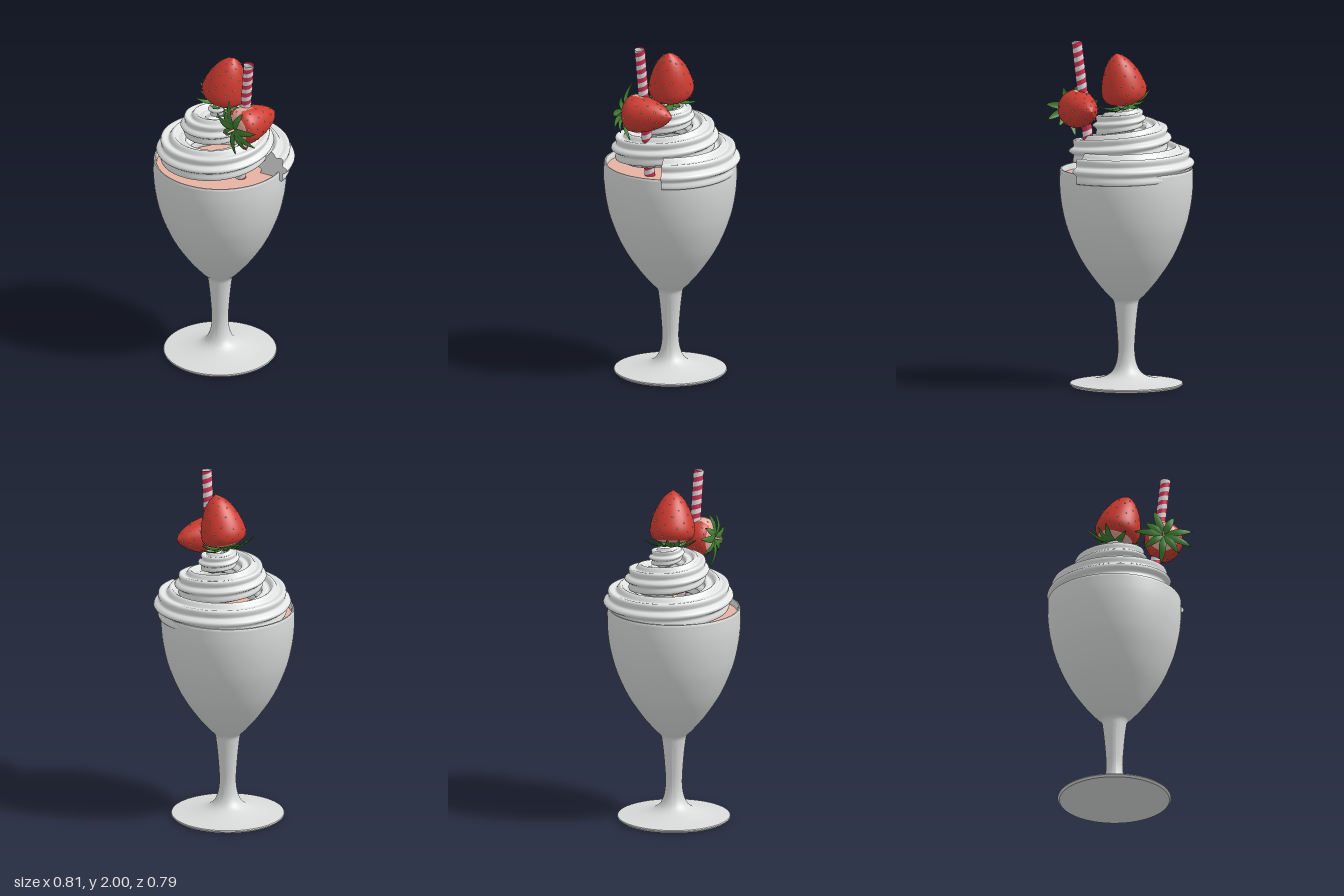
import * as THREE from 'three';
import { mergeGeometries, toCreasedNormals } from 'three/addons/utils/BufferGeometryUtils.js';

const mat = (name, color, side = THREE.FrontSide) => {
  const m = new THREE.MeshStandardMaterial({ color, side });
  m.name = name;
  return m;
};
const UP = new THREE.Vector3(0, 1, 0);
const V = (x, y, z) => new THREE.Vector3(x, y, z);

function add(parent, name, geometry, material) {
  const mesh = new THREE.Mesh(geometry, material);
  mesh.name = name;
  parent.add(mesh);
  return mesh;
}

// Sort the triangles into two material groups; second(t, corner) picks the second one
function splitFaces(geo, second) {
  const idx = Array.from(geo.index.array), lists = [[], []];
  for (let t = 0; t < idx.length / 3; t++) {
    const tri = idx.slice(t * 3, t * 3 + 3);
    lists[second(t, tri) ? 1 : 0].push(...tri);
  }
  geo.setIndex([...lists[0], ...lists[1]]);
  geo.clearGroups();
  geo.addGroup(0, lists[0].length, 0);
  geo.addGroup(lists[0].length, lists[1].length, 1);
  return geo;
}

const spline = (pts, n) =>
  new THREE.SplineCurve(pts.map(([x, y]) => new THREE.Vector2(x, y))).getPoints(n);

// Whipped cream: a fluted section swept along a shrinking spiral.
// Each key, a quarter turn apart, is (spiral radius, height, section radius).
const creamKeys = new THREE.CatmullRomCurve3([
  [0.305, 1.275, 0.1], [0.295, 1.285, 0.1], [0.305, 1.3, 0.098], [0.255, 1.335, 0.095],
  [0.2, 1.38, 0.09], [0.185, 1.42, 0.088], [0.18, 1.455, 0.085], [0.13, 1.49, 0.08],
  [0.085, 1.52, 0.07], [0.075, 1.545, 0.06], [0.05, 1.565, 0.055], [0.02, 1.59, 0.045],
  [0, 1.61, 0.015],
].map((k) => V(...k)), false, 'catmullrom');

const flute = (a) => 0.87 + 0.13 * Math.cos(8 * a);

function creamSweep() {
  const N = 300, M = 64, pos = [], idx = [];
  for (let i = 0; i <= N; i++) {
    const k = creamKeys.getPoint(i / N), th = (i / N) * 6 * Math.PI;
    for (let j = 0; j < M; j++) {
      const a = (j / M) * 2 * Math.PI, s = k.z * flute(a);
      const r = k.x + s * Math.cos(a);
      pos.push(r * Math.cos(th), k.y + s * Math.sin(a), -r * Math.sin(th));
      if (i < N) {
        const p = i * M + j, q = i * M + (j + 1) % M;
        idx.push(p, p + M, q, q, p + M, q + M);
      }
    }
  }
  const geo = new THREE.BufferGeometry();
  geo.setAttribute('position', new THREE.Float32BufferAttribute(pos, 3));
  geo.setIndex(idx);
  geo.computeVertexNormals();
  return geo;
}

function creamCap() {
  const geo = new THREE.CircleGeometry(1, 64), p = geo.attributes.position;
  for (let i = 0; i < p.count; i++) {
    const s = 0.1 * flute(Math.atan2(p.getY(i), p.getX(i)));
    p.setXY(i, 0.305 + p.getX(i) * s, 1.275 + p.getY(i) * s);
  }
  return geo;
}

// One calyx leaf: a pointed, folded blade along +x that droops at the tip
function leafGeometry(length, lift) {
  const geo = new THREE.PlaneGeometry(1, 1, 8, 2), p = geo.attributes.position;
  for (let i = 0; i < p.count; i++) {
    const t = p.getX(i) + 0.5, side = p.getY(i) * 2;
    const w = 0.021 * Math.pow(Math.sin(Math.PI * Math.min(1, 0.12 + t * 0.88)), 0.8);
    p.setXYZ(i, length * t, lift * t * t - 0.02 * Math.sin(t * Math.PI) + 0.008 * Math.abs(side), side * w);
  }
  geo.computeVertexNormals();
  return geo;
}

// Strawberry with its calyx at base, pointing to tip
function strawberry(name, base, tip, radius, mats, patch, leafLift) {
  const g = new THREE.Group();
  g.name = name;
  const axis = tip.clone().sub(base), L = axis.length();
  g.position.copy(base);
  g.quaternion.setFromUnitVectors(UP, axis.normalize());

  const profile = spline([[0, 0], [0.5, 0.015], [0.86, 0.09], [1, 0.22], [0.93, 0.42],
    [0.72, 0.66], [0.4, 0.87], [0, 1]].map(([r, y]) => [r * radius, y * L]), 42);
  profile[0].x = profile[42].x = 0;
  const body = new THREE.LatheGeometry(profile, 48), uv = body.attributes.uv;
  // Pale flesh around the calyx, plus an optional bare patch
  splitFaces(body, (t, tri) => {
    const u = tri.reduce((s, i) => s + uv.getX(i) / 3, 0);
    const v = tri.reduce((s, i) => s + uv.getY(i) / 3, 0);
    return v < 0.24 || (patch && u > 0.87 && u < 0.97 && v < 0.56);
  });
  add(g, 'berryBody', body, [mats.red, mats.flesh]);

  const seeds = [];
  for (let i = 0; i < 64; i++) {
    const k = 12 + Math.floor(27 * Math.pow((i + 0.5) / 64, 1.15)), a = i * 2.39996;
    const c = profile[k], d = profile[k + 1].clone().sub(profile[k - 1]).normalize();
    const n = V(d.y * Math.sin(a), -d.x, d.y * Math.cos(a));
    const s = new THREE.SphereGeometry(0.0055, 6, 4).scale(0.8, 0.7, 1);
    s.applyQuaternion(new THREE.Quaternion().setFromUnitVectors(UP, n));
    seeds.push(s.translate(c.x * Math.sin(a), c.y, c.x * Math.cos(a)));
  }
  add(g, 'seeds', mergeGeometries(seeds), mats.seed);

  const leaves = [];
  for (let i = 0; i < 9; i++) {
    const leaf = leafGeometry(i % 2 ? 0.135 : 0.17, leafLift);
    leaves.push(leaf.rotateY((i / 9) * 2 * Math.PI + 0.2 * Math.sin(i * 5)).translate(0, -0.006, 0));
  }
  add(g, 'calyxLeaves', mergeGeometries(leaves), mats.leaf);
  const stalk = new THREE.CylinderGeometry(0.008, 0.006, 0.055, 10).translate(0, -0.028, 0);
  add(g, 'stalk', stalk, mats.flesh);
  return g;
}

// Striped straw: rows sheared into a helix, then clamped flat at both ends
function straw(bottom, top, mats) {
  const axis = top.clone().sub(bottom), L = axis.length(), pitch = 0.054;
  const rows = 2 * Math.ceil((L + pitch) / pitch), H = rows * pitch / 2;
  const geo = new THREE.CylinderGeometry(0.03, 0.03, H, 32, rows, true);
  const p = geo.attributes.position, uv = geo.attributes.uv;
  for (let i = 0; i < p.count; i++) {
    const y = p.getY(i) + pitch * (uv.getX(i) - 0.5);
    p.setY(i, THREE.MathUtils.clamp(y, -L / 2, L / 2));
  }
  splitFaces(geo, (t) => (Math.floor(t / 2) % rows) % 2 === 1);
  const mesh = new THREE.Mesh(geo, [mats.strawWhite, mats.strawPink]);
  mesh.name = 'straw';
  mesh.position.copy(bottom).add(top).multiplyScalar(0.5);
  mesh.quaternion.setFromUnitVectors(UP, axis.normalize());
  return mesh;
}

export function createModel() {
  const mats = {
    glass: mat('glass', 0xd8dbda),
    cream: mat('cream', 0xe2e4e3),
    milk: mat('milkshake', 0xe8b3a3),
    red: mat('berryRed', 0xcf3b30),
    flesh: mat('berryFlesh', 0xe4ac9c),
    seed: mat('seed', 0xd6d2c8),
    leaf: mat('leafGreen', 0x427f33, THREE.DoubleSide),
    strawWhite: mat('strawWhite', 0xdedede, THREE.DoubleSide),
    strawPink: mat('strawPink', 0xd42f55, THREE.DoubleSide),
  };
  const model = new THREE.Group();
  model.name = 'strawberrySundae';

  // Goblet: foot, stem, bowl, rolled rim and inner wall
  const foot = [[0, 0.004], [0.315, 0], [0.325, 0.012]].map(([x, y]) => new THREE.Vector2(x, y));
  const wall = spline([[0.322, 0.018], [0.2, 0.033], [0.11, 0.06], [0.066, 0.11], [0.048, 0.2],
    [0.054, 0.33], [0.066, 0.45], [0.076, 0.495], [0.11, 0.53], [0.185, 0.62], [0.27, 0.75],
    [0.335, 0.9], [0.368, 1.03], [0.382, 1.15], [0.381, 1.25]], 90);
  const rim = [[0.377, 1.257], [0.37, 1.257], [0.365, 1.25], [0.362, 1.2]]
    .map(([x, y]) => new THREE.Vector2(x, y));
  const goblet = new THREE.LatheGeometry([...foot, ...wall, ...rim], 80);
  add(model, 'goblet', toCreasedNormals(goblet, 0.7), mats.glass).position.set(-0.025, 0, 0.01);

  // Milkshake surface
  const milk = new THREE.CircleGeometry(0.366, 64).rotateX(-Math.PI / 2);
  add(model, 'milkshake', milk, mats.milk).position.set(-0.025, 1.222, 0.01);

  // Cream swirl and its cut end
  add(model, 'creamSwirl', creamSweep(), mats.cream);
  add(model, 'creamEnd', creamCap(), mats.cream);

  model.add(straw(V(0.15, 1.15, 0.095), V(0.235, 1.998, 0.147), mats));
  model.add(strawberry('topStrawberry', V(-0.02, 1.635, 0), V(0.06, 1.93, 0.005), 0.13, mats, false, 0.02));
  model.add(strawberry('sideStrawberry', V(0.19, 1.605, 0.235), V(0.3, 1.615, -0.05), 0.11, mats, true, 0.015));
  return model;
}
